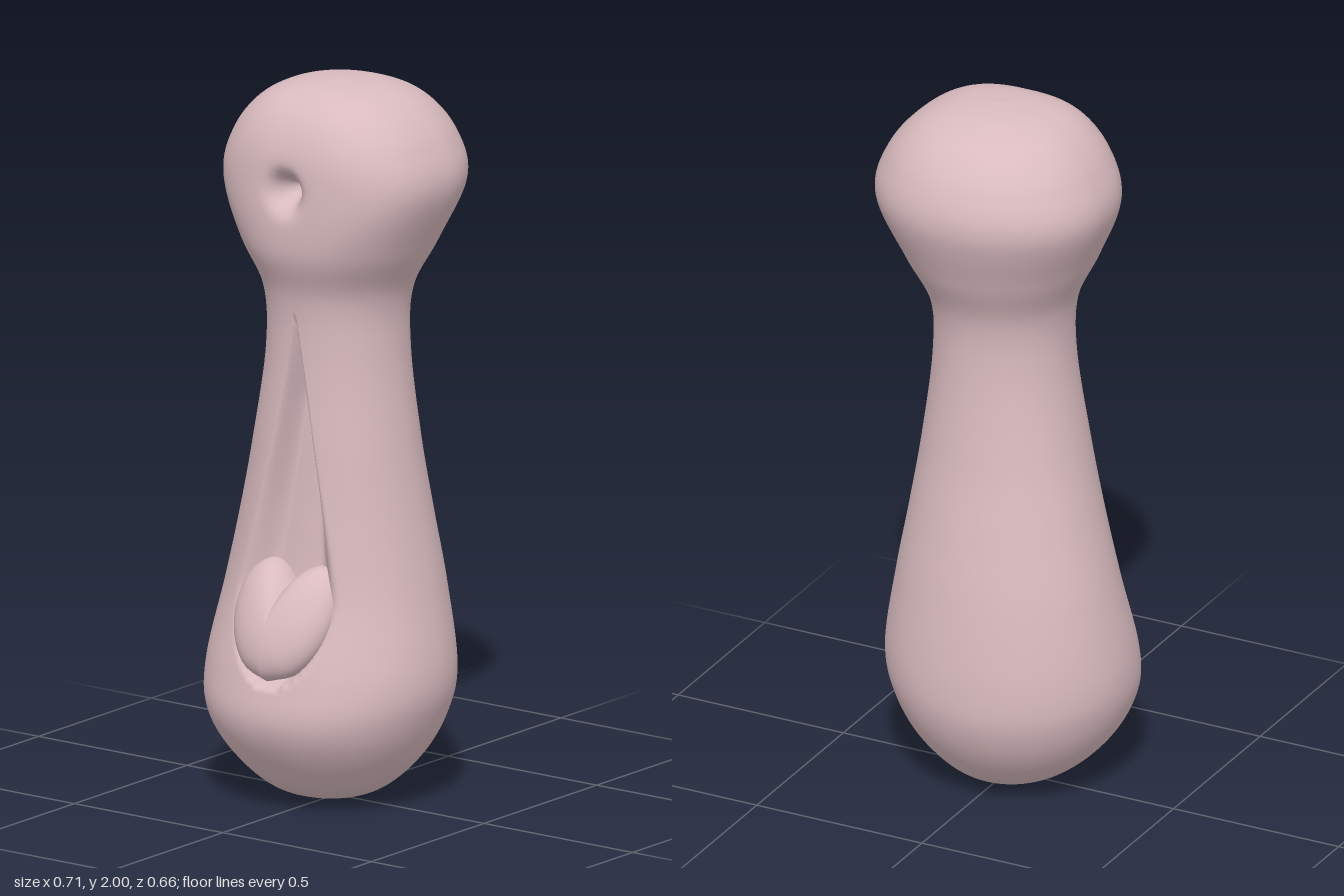
import * as THREE from 'three';

// Closed loops of points stacked into a smooth skin
function loft(rows, cols, point) {
  const pos = [], index = [];
  for (let i = 0; i <= rows; i++) {
    for (let j = 0; j < cols; j++) {
      pos.push(...point(i / rows, j / cols));
      if (i === rows) continue;
      const a = i * cols + j, b = i * cols + (j + 1) % cols;
      index.push(a, b, a + cols, b, b + cols, a + cols);
    }
  }
  const g = new THREE.BufferGeometry();
  g.setAttribute('position', new THREE.Float32BufferAttribute(pos, 3));
  g.setIndex(index);
  g.computeVertexNormals();
  return g;
}

// Body outline: height, left x, right x, back z, front z
const outline = [
  [0.005, 0, 0, 0, 0], [0.035, -0.15, 0.13, -0.14, 0.15],
  [0.13, -0.27, 0.24, -0.24, 0.255], [0.25, -0.34, 0.31, -0.3, 0.32],
  [0.38, -0.355, 0.335, -0.31, 0.308], [0.6, -0.315, 0.3, -0.285, 0.25],
  [0.8, -0.267, 0.265, -0.25, 0.225], [1.0, -0.222, 0.235, -0.215, 0.21],
  [1.25, -0.178, 0.205, -0.19, 0.195], [1.42, -0.18, 0.21, -0.2, 0.205],
  [1.56, -0.24, 0.28, -0.26, 0.252], [1.73, -0.305, 0.35, -0.322, 0.255],
  [1.85, -0.272, 0.32, -0.3, 0.24], [1.94, -0.2, 0.245, -0.23, 0.19],
  [1.985, -0.11, 0.15, -0.13, 0.11], [2.0, 0.02, 0.02, -0.01, -0.01],
];
const curve = (pts) => new THREE.CatmullRomCurve3(pts, false, 'catmullrom', 0.5);
const low = curve(outline.map(([y, l, , b]) => new THREE.Vector3(l, y, b)));
const high = curve(outline.map(([y, , r, , f]) => new THREE.Vector3(r, y, f)));

// Half width of the teardrop hollow at a given height
function hollowWidth(y) {
  if (y > 1.4 || y < 0.37) return 0;
  if (y > 0.6) return 0.16 * Math.pow((1.4 - y) / 0.8, 1.2);
  return 0.16 * Math.sqrt(Math.max(0, 1 - ((0.6 - y) / 0.23) ** 2));
}

function bodyPoint(v, u) {
  const p = low.getPoint(v), q = high.getPoint(v);
  // columns gather towards the front, where the detail is
  const a = u * Math.PI * 2 - 0.6 * Math.sin(u * Math.PI * 2);
  const s = Math.sin(a), c = Math.cos(a);
  const head = THREE.MathUtils.smoothstep(p.y, 1.45, 1.7);
  const e = 2 / (c > 0 ? 2.15 + 0.5 * head : 2.05);
  const x = (p.x + q.x) / 2 + (q.x - p.x) / 2 * Math.sign(s) * Math.pow(Math.abs(s), e);
  let z = (p.z + q.z) / 2 + (q.z - p.z) / 2 * Math.sign(c) * Math.pow(Math.abs(c), e);
  if (c > 0) {
    // teardrop hollow
    const w = hollowWidth(p.y);
    if (w > 0.002) {
      const d = Math.abs(x - 0.012 * THREE.MathUtils.smoothstep(p.y, 0.5, 1.2)) / w;
      z -= 0.085 * Math.min(1, w / 0.04) * (1 - THREE.MathUtils.smoothstep(d, 0.45, 1.08));
    }
    // dimple in the head
    const r2 = (x - 0.015) ** 2 + (p.y - 1.73) ** 2;
    z -= 0.1 * Math.exp(-r2 / 0.0016);
  }
  return [x, p.y, z];
}

// Right half of the heart outline, from notch to tip
const heartHalf = curve([
  [0, 0.1], [0.04, 0.142], [0.09, 0.155], [0.137, 0.12],
  [0.157, 0.04], [0.137, -0.05], [0.08, -0.122], [0, -0.15],
].map(([x, y]) => new THREE.Vector3(x, y, 0)));

function heartPoint(v, u) {
  const left = u < 0.5;
  const h = heartHalf.getPoint(left ? u * 2 : 2 - u * 2);
  // from the back centre round the rim to the front centre
  const phi = (v - 0.5) * Math.PI, k = Math.cos(phi);
  const x = (left ? -h.x : h.x) * k, y = h.y * k;
  return [x - 0.003, 0.53 + y, 0.225 - 0.4 * y + 0.09 * Math.sin(phi)];
}

export function createModel() {
  const group = new THREE.Group();
  const skin = new THREE.MeshStandardMaterial({ color: 0xd9bbbf });
  skin.name = 'dusty pink';

  const body = new THREE.Mesh(loft(150, 128, bodyPoint), skin);
  body.name = 'body';
  const heart = new THREE.Mesh(loft(24, 48, heartPoint), skin);
  heart.name = 'heart';

  group.add(body, heart);
  return group;
}
